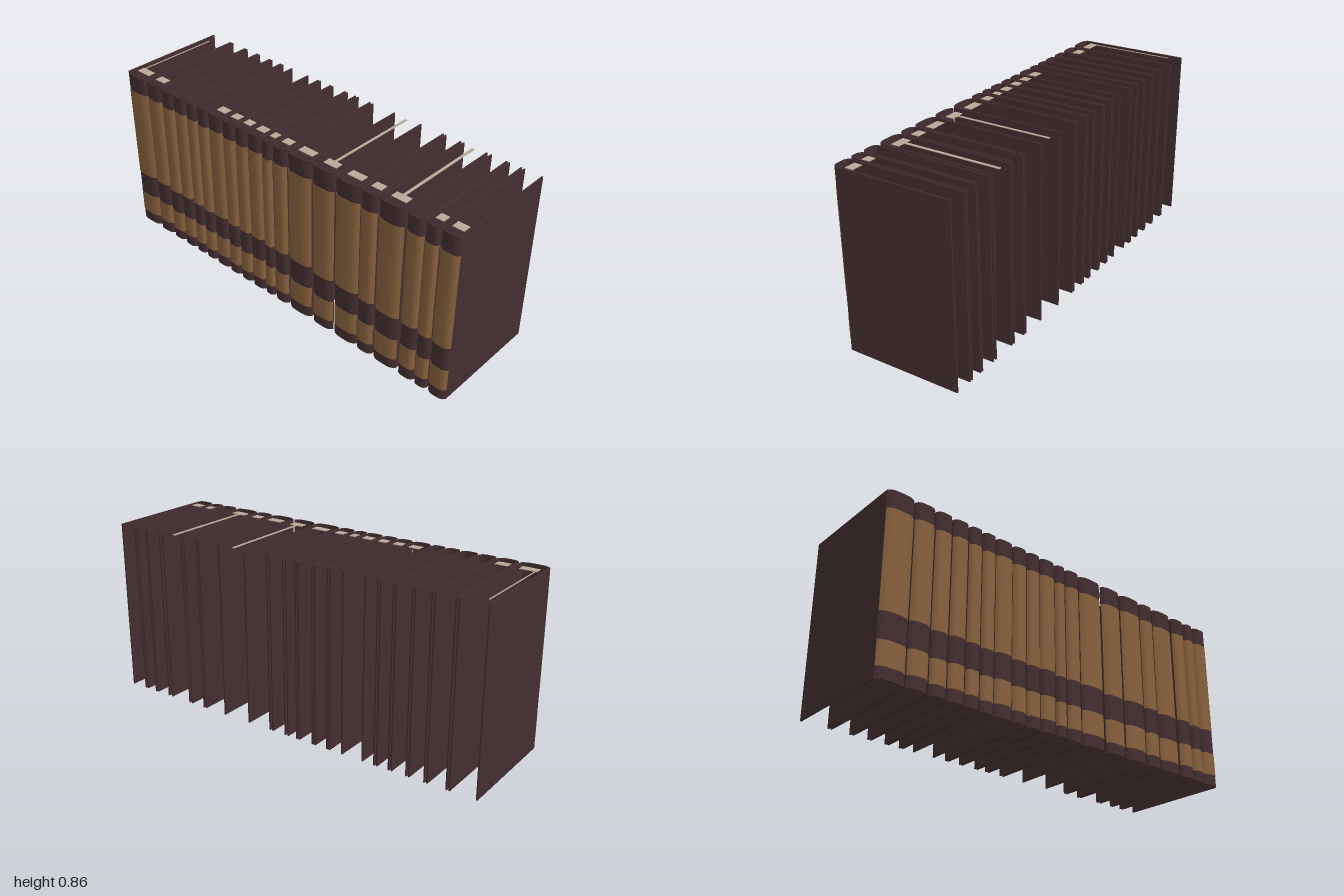
import * as THREE from 'three';

const HEIGHT = 0.86, BACK = -0.29, JOINT = 0.27, COVER = 0.007;

// left edge, right edge, has covers, has headband
const BOOKS = [
  [-1.0, -0.864, 1, 1], [-0.857, -0.757, 1, 1], [-0.75, -0.667, 1, 0], [-0.66, -0.578, 1, 0],
  [-0.571, -0.503, 1, 0], [-0.496, -0.427, 1, 0], [-0.42, -0.328, 0, 1], [-0.324, -0.248, 1, 1],
  [-0.242, -0.168, 1, 1], [-0.161, -0.077, 1, 1], [-0.071, -0.013, 1, 1], [-0.003, 0.077, 1, 1],
  [0.087, 0.222, 1, 1], [0.235, 0.355, 0, 1], [0.366, 0.497, 1, 1], [0.504, 0.59, 1, 1],
  [0.6, 0.727, 1, 1], [0.742, 0.827, 1, 0], [0.833, 0.899, 1, 1], [0.907, 1.0, 1, 1],
];
const TAN_BANDS = [[0.055, 0.168], [0.292, 0.77]];

// Curved strip standing upright; its outer face bulges towards +z
function curvedStrip(width, y0, y1, zEdge, bulge, thick) {
  const outer = [], inner = [], n = 12;
  for (let i = 0; i <= n; i++) {
    const t = (i / n) * 2 - 1;
    const z = zEdge + bulge * (1 - t ** 4);
    outer.push(new THREE.Vector2(t * width / 2, -z));
    inner.unshift(new THREE.Vector2(t * width / 2, -z + thick));
  }
  const geo = new THREE.ExtrudeGeometry(new THREE.Shape([...outer, ...inner]),
    { depth: y1 - y0, bevelEnabled: false });
  geo.rotateX(-Math.PI / 2);
  geo.translate(0, y0, 0);
  return geo;
}

export function createModel() {
  const leather = new THREE.MeshStandardMaterial({ name: 'darkLeather', color: 0x432e30 });
  const tan = new THREE.MeshStandardMaterial({ name: 'tanLeather', color: 0x87613c });
  const paper = new THREE.MeshStandardMaterial({ name: 'paper', color: 0xb5aa98 });

  const model = new THREE.Group();
  model.name = 'bookRow';
  const add = (parent, name, geo, mat, x = 0, y = 0, z = 0) => {
    const mesh = new THREE.Mesh(geo, mat);
    mesh.name = name;
    mesh.position.set(x, y, z);
    parent.add(mesh);
  };

  BOOKS.forEach(([x0, x1, covers, headband], i) => {
    const book = new THREE.Group();
    book.name = 'book' + (i + 1);
    book.position.x = (x0 + x1) / 2;
    model.add(book);
    const w = x1 - x0;

    // Hollow spine with its two tan panels; edges waver slightly from book to book
    add(book, 'spine', curvedStrip(w, 0, HEIGHT, JOINT, 0.018, 0.006), leather);
    const shift = 0.004 * Math.sin(i * 2.3);
    for (const [y0, y1] of TAN_BANDS) {
      add(book, 'spinePanel', curvedStrip(w, y0 + shift, y1 + shift, JOINT + 0.002, 0.018, 0.003), tan);
    }

    // Front and back boards
    if (covers) {
      const depth = JOINT - BACK;
      for (const s of [-1, 1]) {
        add(book, s < 0 ? 'rightCover' : 'leftCover', new THREE.BoxGeometry(COVER, HEIGHT, depth), leather,
          s * (w - COVER) / 2, HEIGHT / 2, (JOINT + BACK) / 2);
      }
    }

    // Scrap of paper block left at the head of the spine
    if (headband) {
      add(book, 'headband', new THREE.BoxGeometry(w * 0.6, 0.003, 0.04), paper, 0, HEIGHT - 0.004, 0.215);
    }
  });

  // Narrow loose paper strips along the top
  for (const [x, w, z0] of [[0.293, 0.012, -0.28], [0.66, 0.014, -0.28], [-0.965, 0.005, -0.23]]) {
    add(model, 'paperStrip', new THREE.BoxGeometry(w, 0.003, 0.2 - z0), paper, x, HEIGHT - 0.004, (0.2 + z0) / 2);
  }
  return model;
}
